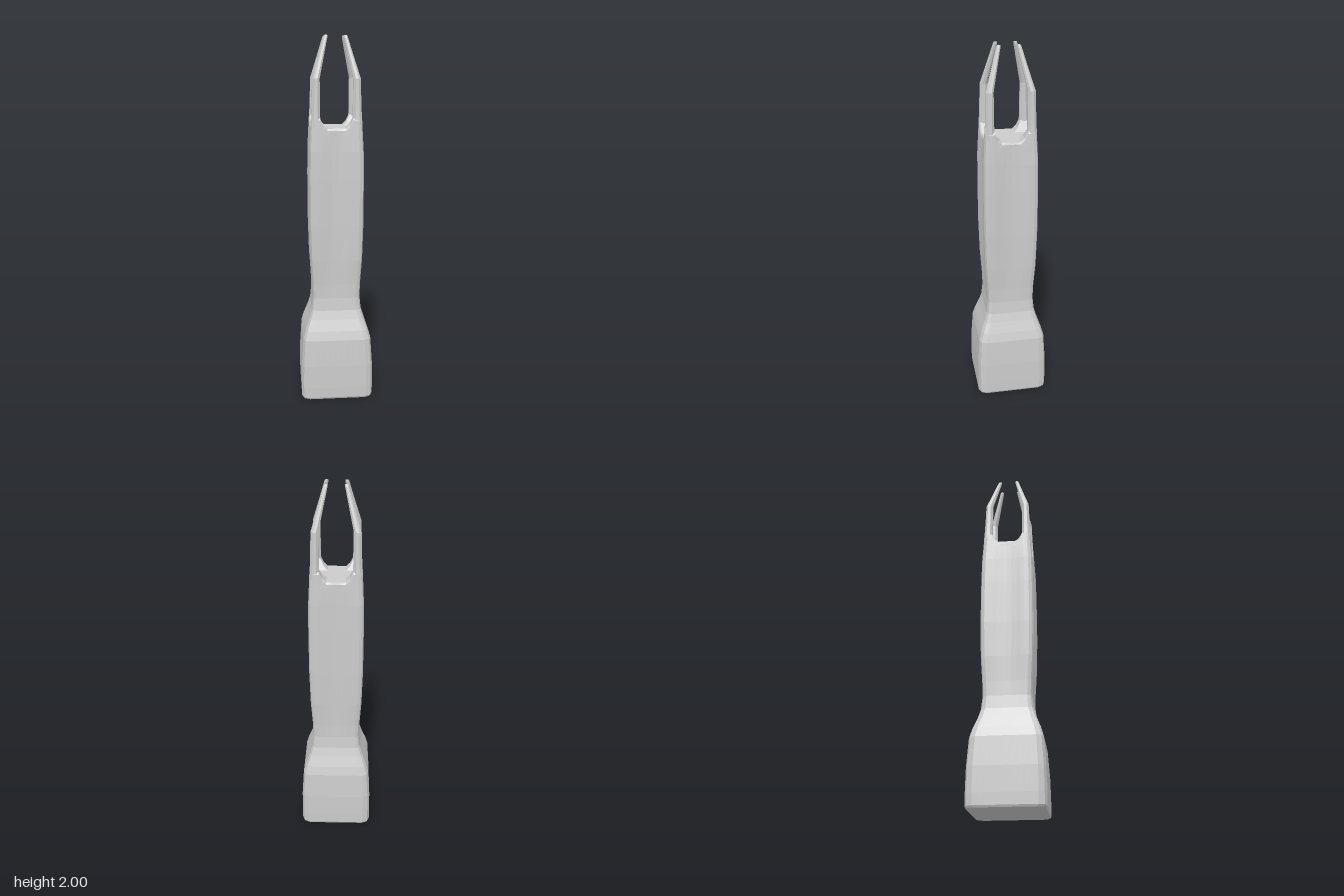
import * as THREE from 'three';

const material = new THREE.MeshStandardMaterial({ color: 0xcccccc, flatShading: true });

// Skin a stack of closed rings (arrays of [x, y, z], same point count).
function loft(rings) {
  const n = rings[0].length;
  const index = [];
  for (let r = 0; r < rings.length - 1; r++) {
    for (let i = 0; i < n; i++) {
      const j = (i + 1) % n;
      const a = r * n + i, b = r * n + j, c = a + n, d = b + n;
      index.push(a, b, d, a, d, c);
    }
  }
  const indexed = new THREE.BufferGeometry();
  indexed.setAttribute('position', new THREE.Float32BufferAttribute(rings.flat(2), 3));
  indexed.setIndex(index);
  const geometry = indexed.toNonIndexed();
  geometry.computeVertexNormals();
  return geometry;
}

// Square outline with rounded corners and sides hollowed by `dip`.
const STEPS = [-1, -0.78, -0.62, -0.44, -0.2, 0, 0.2, 0.44, 0.62, 0.78, 1];
function outline(w, c, dip) {
  const side = STEPS.map(u => [u * (w - c), w - dip * (1 + Math.cos(Math.PI * u)) / 2]);
  side.push([w - 0.3 * c, w - 0.3 * c]);
  const turns = [(x, z) => [x, z], (x, z) => [z, -x], (x, z) => [-x, -z], (x, z) => [-z, x]];
  return turns.flatMap(turn => side.map(([x, z]) => turn(x, z)));
}

// The top is flat in a cross shape and sweeps up towards the four corners.
function lift(x, z) {
  const t = THREE.MathUtils.clamp((Math.min(Math.abs(x), Math.abs(z)) - 0.049) / 0.039, 0, 1);
  return 0.055 * t ** 1.7;
}

function buildBody() {
  // height, half width, corner size, side hollow
  const sections = [
    [0, 0.195, 0.04, 0], [0.01, 0.2, 0.04, 0], [0.07, 0.201, 0.04, 0],
    [0.2, 0.199, 0.039, 0], [0.35, 0.189, 0.036, 0], [0.4, 0.175, 0.033, 0],
    [0.46, 0.153, 0.03, 0], [0.51, 0.138, 0.027, 0], [0.58, 0.131, 0.025, 0.001],
    [0.66, 0.133, 0.024, 0.004], [0.8, 0.142, 0.024, 0.01], [1, 0.147, 0.024, 0.013],
    [1.25, 0.147, 0.024, 0.013], [1.4, 0.145, 0.024, 0.012], [1.49, 0.14, 0.023, 0.009],
  ];
  const rings = sections.map(([y, w, c, dip]) => outline(w, c, dip).map(([x, z]) => [x, y, z]));
  rings.unshift(rings[0].map(() => [0, 0, 0]));

  // Bevelled rim
  const rim = outline(0.136, 0.023, 0.005);
  rings.push(rim.map(([x, z]) => [x, 1.511 + lift(x, z), z]));

  // Scooped top, closing in ever smaller squares
  for (const s of [0.127, 0.113, 0.1, 0.088, 0.07, 0.049, 0]) {
    rings.push(rim.map(([x, z]) => {
      const px = THREE.MathUtils.clamp(x, -s, s), pz = THREE.MathUtils.clamp(z, -s, s);
      return [px, 1.522 + lift(px, pz), pz];
    }));
  }
  return loft(rings);
}

function buildProng() {
  // height, centre offset along both x and z, half thickness
  const sections = [
    [1.48, 0.111, 0.025], [1.56, 0.1105, 0.025], [1.61, 0.1095, 0.0228], [1.7, 0.108, 0.021],
    [1.78, 0.107, 0.0195], [1.8, 0.102, 0.0185], [1.9, 0.076, 0.014],
    [1.99, 0.053, 0.0105], [2, 0.051, 0.008], [2, 0.051, 0],
  ];
  return loft(sections.map(([y, centre, half]) => {
    const radius = half / Math.cos(Math.PI / 8);
    return Array.from({ length: 8 }, (_, i) => {
      const a = (i + 0.5) * Math.PI / 4;
      return [centre + radius * Math.sin(a), y, centre + radius * Math.cos(a)];
    });
  }));
}

export function createModel() {
  const model = new THREE.Group();
  model.name = 'prongedHandle';

  const body = new THREE.Mesh(buildBody(), material);
  body.name = 'body';
  model.add(body);

  // One prong on each corner
  const prongGeometry = buildProng();
  ['frontLeft', 'backLeft', 'backRight', 'frontRight'].forEach((corner, k) => {
    const prong = new THREE.Mesh(prongGeometry, material);
    prong.name = corner + 'Prong';
    prong.rotation.y = k * Math.PI / 2;
    model.add(prong);
  });
  return model;
}
